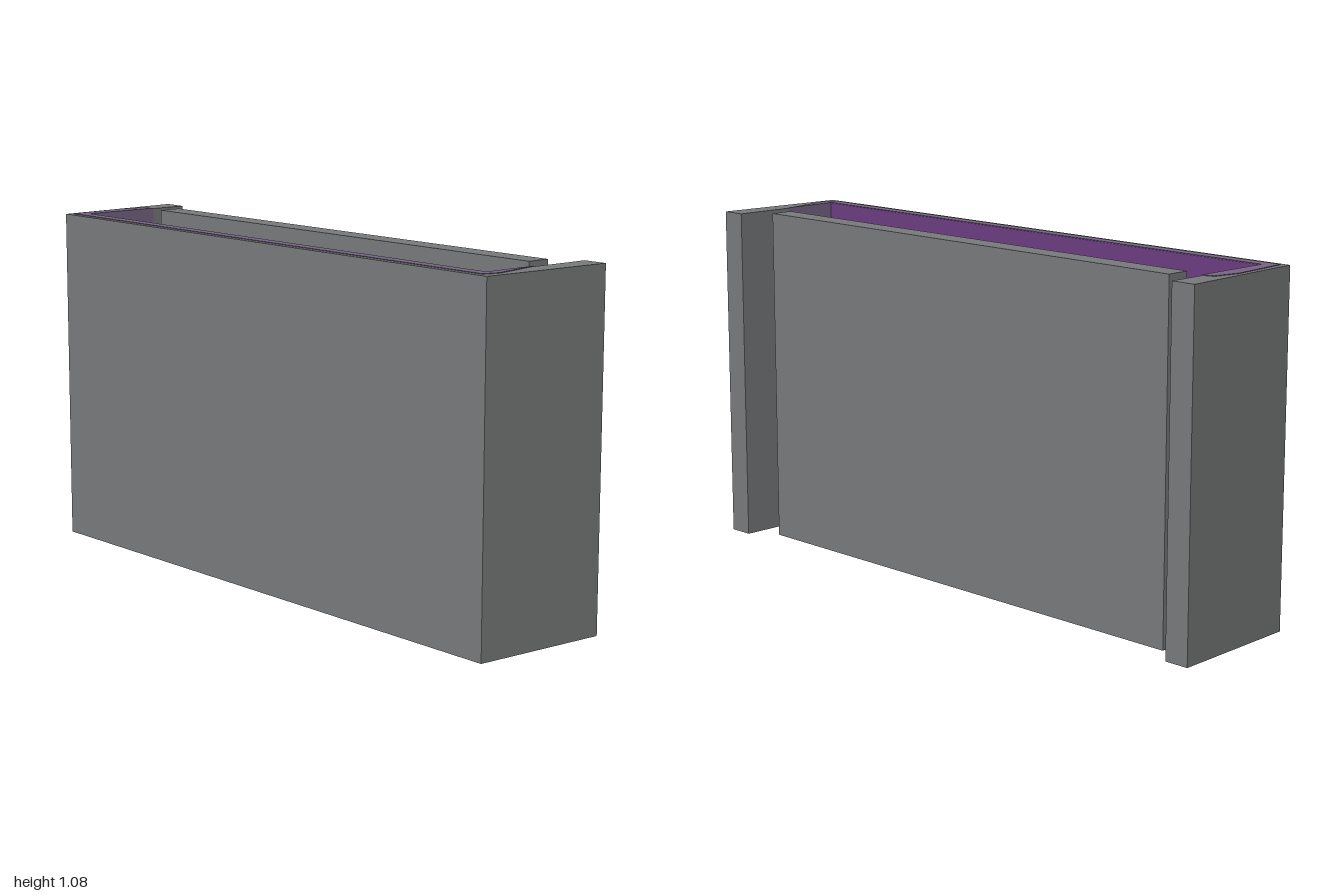
import * as THREE from 'three';

const HEIGHT = 1.075;
const SKIN = 0.002;

const material = (name, color) => {
  const m = new THREE.MeshStandardMaterial({ color });
  m.name = name;
  return m;
};

// Upright prism from a floor plan given as [x, z] corners
function prism(name, plan, bottom, top, mat) {
  const shape = new THREE.Shape(plan.map(([x, z]) => new THREE.Vector2(x, -z)));
  const geo = new THREE.ExtrudeGeometry(shape, { depth: top - bottom, bevelEnabled: false });
  geo.rotateX(-Math.PI / 2).translate(0, bottom, 0);
  const mesh = new THREE.Mesh(geo, mat);
  mesh.name = name;
  return mesh;
}

export function createModel() {
  const grey = material('grey', 0x77797a);
  const mutedPurple = material('muted purple', 0x756483);
  const purple = material('purple', 0x6c3c80);
  const group = new THREE.Group();
  group.name = 'openCasing';

  // U-shaped casing with slightly flared side walls
  group.add(prism('casing', [
    [-1, -0.22], [-0.975, 0.218], [0.975, 0.218], [1, -0.22],
    [0.92, -0.22], [0.92, 0.165], [-0.92, 0.165], [-0.92, -0.22],
  ], SKIN, HEIGHT - SKIN, grey));

  // Tinted band on the rim and inner side walls
  const inner = 0.92 - SKIN;
  group.add(prism('tintedLining', [
    [-inner, -0.095], [-0.955, -0.085], [-0.972, 0], [-0.955, 0.2],
    [0.94, 0.2], [0.955, 0.15], [inner, -0.02],
    [inner, 0.163], [-inner, 0.163],
  ], 0, HEIGHT, mutedPurple));

  // Purple face inside the front wall
  const face = new THREE.Mesh(new THREE.BoxGeometry(inner * 2, HEIGHT - 2 * SKIN, 0.004), purple);
  face.name = 'innerFrontFace';
  face.position.set(0, HEIGHT / 2, 0.162);
  group.add(face);

  // Free-standing back panel
  const panel = new THREE.Mesh(new THREE.BoxGeometry(1.695, HEIGHT, 0.075), grey);
  panel.name = 'backPanel';
  panel.position.set(-0.002, HEIGHT / 2, -0.113);
  group.add(panel);

  return group;
}
